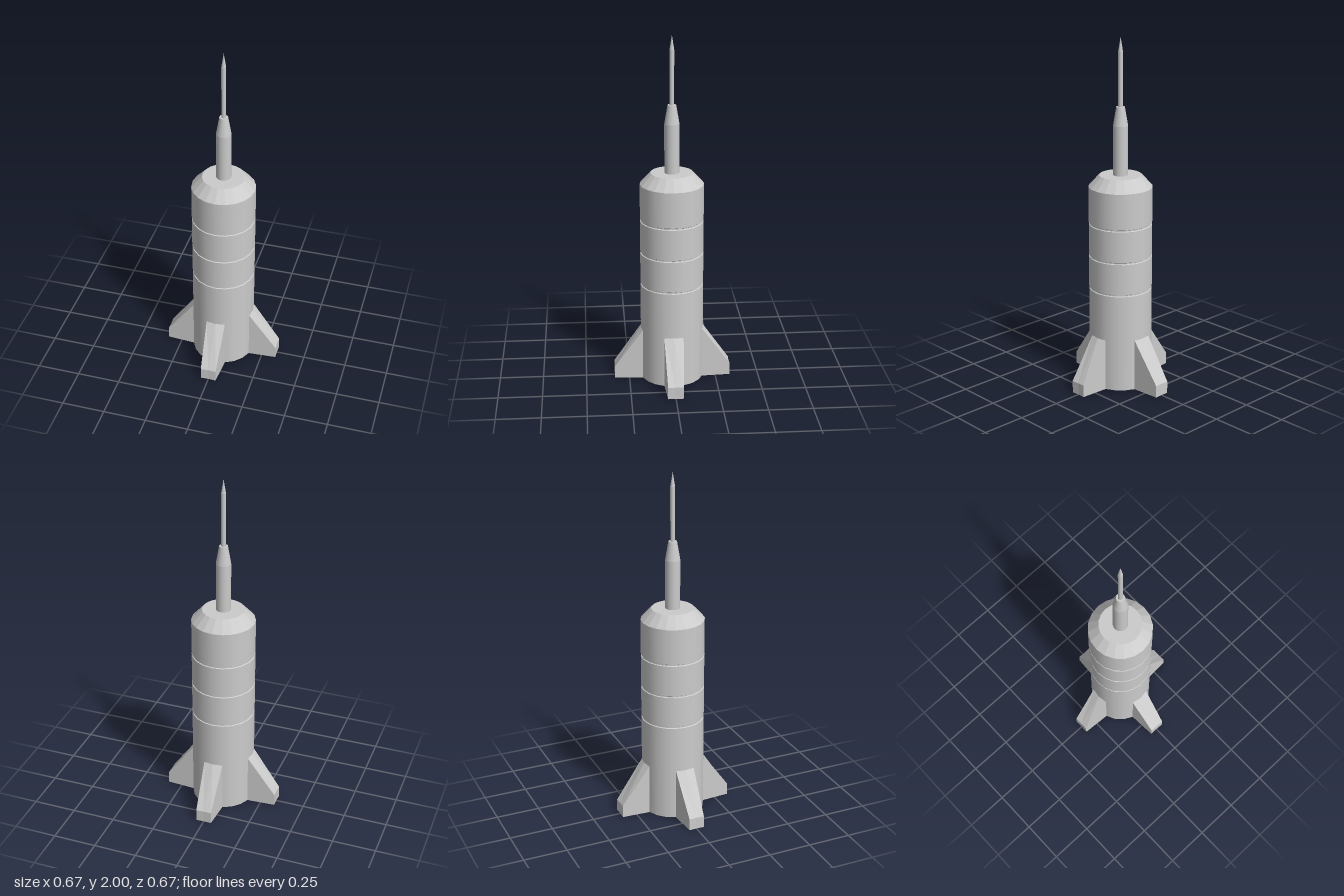
import * as THREE from 'three';
import { mergeGeometries } from 'three/addons/utils/BufferGeometryUtils.js';

const smooth = new THREE.MeshStandardMaterial({ color: 0xcccccc });
const faceted = new THREE.MeshStandardMaterial({ color: 0xcccccc, flatShading: true });

// Turned part: smooth around the axis, sharp at every corner of the [radius, height] profile
function turned(name, profile, sides, material = smooth) {
  const points = profile.map(([r, y]) => new THREE.Vector2(r, y));
  const bands = points.slice(1).map((p, i) => new THREE.LatheGeometry([points[i], p], sides));
  const mesh = new THREE.Mesh(mergeGeometries(bands), material);
  mesh.name = name;
  return mesh;
}

// Fin pointing to +z: three upright slices [root x, root z, tip x, tip z] joined by quads
function finGeometry() {
  const rootTop = 0.3, tipTop = 0.07;
  const slices = [
    [-0.055, 0.171, -0.045, 0.335],
    [0, 0.18, 0, 0.333],
    [0.055, 0.171, 0.045, 0.335],
  ].map(([rx, rz, tx, tz]) => [[rx, 0, rz], [tx, 0, tz], [tx, tipTop, tz], [rx, rootTop, rz]]);
  const positions = [];
  const quad = (a, b, c, d) => positions.push(...a, ...b, ...c, ...a, ...c, ...d);

  quad(...slices[0]);
  quad(...[...slices[2]].reverse());
  for (let i = 0; i < 2; i++) {
    const s = slices[i], n = slices[i + 1];
    quad(s[3], s[2], n[2], n[3]); // sloping top
    quad(s[2], s[1], n[1], n[2]); // tip
    quad(s[1], s[0], n[0], n[1]); // underside
  }
  const geometry = new THREE.BufferGeometry();
  geometry.setAttribute('position', new THREE.Float32BufferAttribute(positions, 3));
  geometry.computeVertexNormals();
  return geometry;
}

export function createModel() {
  const model = new THREE.Group();
  model.name = 'rocket';

  // Hull with three narrow grooves
  const hull = [[0, 0], [0.18, 0]];
  for (const y of [0.575, 0.765, 0.955]) {
    hull.push([0.18, y - 0.006], [0.175, y - 0.003], [0.175, y + 0.003], [0.18, y + 0.006]);
  }
  hull.push([0.18, 1.165]);
  model.add(turned('hull', hull, 20));

  // Bevelled shoulder with a flat deck
  model.add(turned('shoulder', [[0.18, 1.165], [0.12, 1.23], [0, 1.23]], 20, faceted));

  // Mast and needle on top
  model.add(turned('mast', [[0.042, 1.23], [0.042, 1.51], [0.024, 1.615], [0, 1.615]], 20));
  model.add(turned('needle', [[0.013, 1.615], [0.013, 1.92], [0, 2]], 16));

  // Four fins around the base
  const geometry = finGeometry();
  for (let i = 0; i < 4; i++) {
    const fin = new THREE.Mesh(geometry, faceted);
    fin.name = `fin${i + 1}`;
    fin.rotation.y = (i * Math.PI) / 2;
    model.add(fin);
  }
  return model;
}
